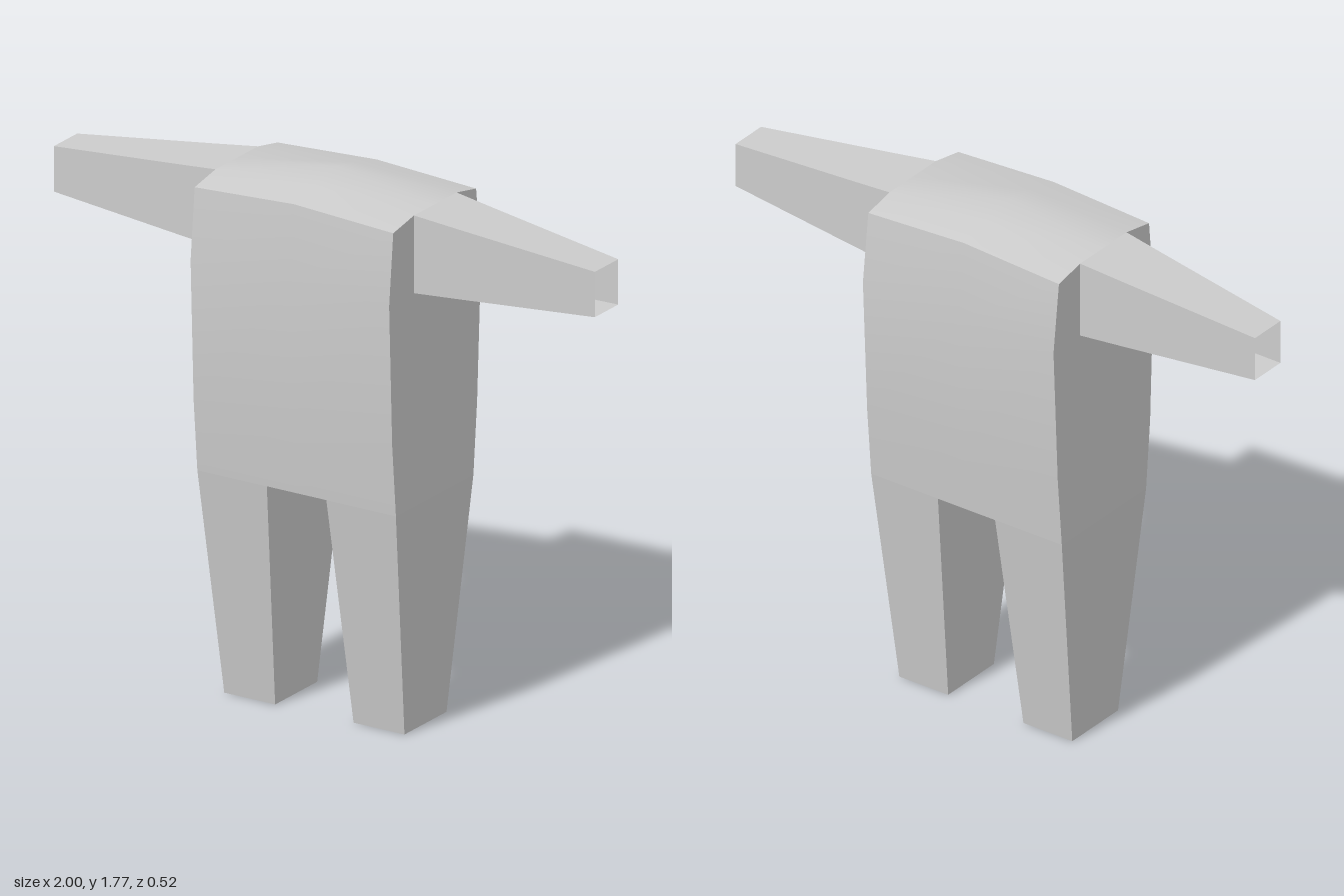
import * as THREE from 'three';
import { toCreasedNormals } from 'three/addons/utils/BufferGeometryUtils.js';

const material = new THREE.MeshStandardMaterial({ color: 0xcccccc, side: THREE.DoubleSide });

// Mesh from a list of quads, each with corners counter-clockwise from outside
function quadMesh(name, quads) {
  const pos = [];
  for (const [a, b, c, d] of quads) pos.push(...a, ...b, ...c, ...a, ...c, ...d);
  const geo = new THREE.BufferGeometry();
  geo.setAttribute('position', new THREE.Float32BufferAttribute(pos, 3));
  const mesh = new THREE.Mesh(toCreasedNormals(geo, 0.6), material);
  mesh.name = name;
  return mesh;
}

// Mirror quads across x, reversing their corner order
const mirror = (quads) =>
  quads.map((q) => q.map(([x, y, z]) => [-x, y, z]).reverse());

// Side walls joining successive four-cornered rings
function loft(rings) {
  const quads = [];
  for (let r = 0; r < rings.length - 1; r++) {
    const a = rings[r], b = rings[r + 1];
    for (let i = 0; i < 4; i++) {
      const j = (i + 1) % 4;
      quads.push([a[i], a[j], b[j], b[i]]);
    }
  }
  return quads;
}

const W = 0.367; // torso half width
const HIP = 0.76, ARMPIT = 1.465, ARM_Z = 0.12;

function torsoHalf() {
  const quads = [];
  // rows: [height at side, height at centre, front z, back z]
  const rows = [
    [HIP, HIP, 0.222, -0.215],
    [1.0, 1.0, 0.243, -0.236],
    [ARMPIT, ARMPIT, 0.26, -0.258],
    [1.7, 1.72, 0.237, -0.23],
  ];
  // front, back and flank panels
  for (let i = 0; i < rows.length - 1; i++) {
    const [s0, c0, f0, b0] = rows[i], [s1, c1, f1, b1] = rows[i + 1];
    quads.push([[0, c0, f0], [W, s0, f0], [W, s1, f1], [0, c1, f1]]);
    quads.push([[W, s0, b0], [0, c0, b0], [0, c1, b1], [W, s1, b1]]);
    if (i < 2) quads.push([[W, s0, f0], [W, s0, b0], [W, s1, b1], [W, s1, f1]]);
  }
  // flank strips either side of the arm opening
  quads.push([[W, ARMPIT, 0.26], [W, ARMPIT, ARM_Z], [W, 1.722, ARM_Z], [W, 1.7, 0.237]]);
  quads.push([[W, ARMPIT, -ARM_Z], [W, ARMPIT, -0.258], [W, 1.7, -0.23], [W, 1.722, -ARM_Z]]);
  // ridged shoulder top: [z, height at centre, height at side]
  const top = [[0.237, 1.72, 1.7], [ARM_Z, 1.745, 1.722], [0, 1.77, 1.722],
    [-ARM_Z, 1.745, 1.722], [-0.23, 1.72, 1.7]];
  for (let i = 0; i < top.length - 1; i++) {
    const [z0, c0, s0] = top[i], [z1, c1, s1] = top[i + 1];
    quads.push([[0, c0, z0], [W, s0, z0], [W, s1, z1], [0, c1, z1]]);
  }
  // crotch
  quads.push([[0, HIP, -0.215], [0.11, HIP, -0.215], [0.11, HIP, 0.222], [0, HIP, 0.222]]);
  return quads;
}

// Tapered leg, closed at the foot
function legQuads() {
  const ring = (y, x0, x1, f, b) => [[x0, y, f], [x1, y, f], [x1, y, b], [x0, y, b]];
  const foot = ring(0, 0.145, 0.333, 0.122, -0.115);
  const hip = ring(HIP, 0.11, W, 0.222, -0.215);
  return [...loft([foot, hip]), [...foot].reverse()];
}

// Hollow tapered arm, open at the wrist
function armQuads() {
  const ring = (x, lo, hi, z) => [[x, lo, z], [x, lo, -z], [x, hi, -z], [x, hi, z]];
  return loft([
    ring(W, ARMPIT, 1.722, ARM_Z),
    ring(0.52, 1.473, 1.704, 0.107),
    ring(1, 1.5, 1.65, 0.066),
  ]);
}

export function createModel() {
  const model = new THREE.Group();
  model.name = 'bodySuit';
  const half = torsoHalf(), leg = legQuads(), arm = armQuads();
  model.add(
    quadMesh('torso', [...half, ...mirror(half)]),
    quadMesh('leftLeg', leg),
    quadMesh('rightLeg', mirror(leg)),
    quadMesh('leftArm', arm),
    quadMesh('rightArm', mirror(arm)),
  );
  return model;
}
